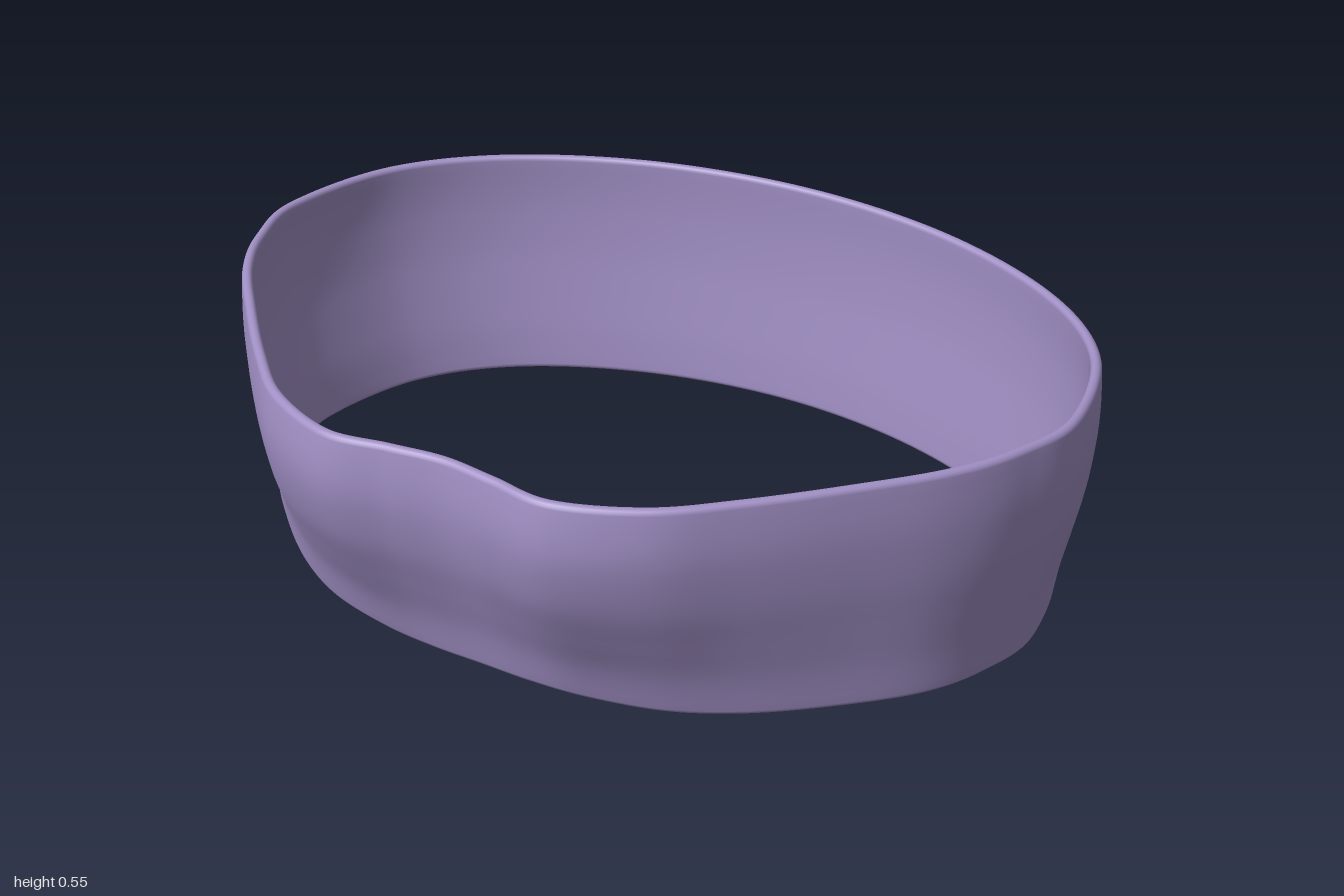
import * as THREE from 'three';

const HEIGHT = 0.55, WALL = 0.024, AROUND = 240, LEVELS = 24;

// Half outlines [x, z] running from centre back to centre front
const LOWER = [[0, -0.74], [0.35, -0.69], [0.66, -0.55], [0.855, -0.345], [0.93, -0.08], [0.9, 0.09],
  [0.825, 0.235], [0.685, 0.38], [0.55, 0.49], [0.41, 0.565], [0.25, 0.605], [0.12, 0.617], [0, 0.617]];
const UPPER = [[0, -0.78], [0.38, -0.727], [0.71, -0.575], [0.92, -0.36], [1, -0.08], [0.96, 0.1],
  [0.88, 0.25], [0.745, 0.41], [0.59, 0.575], [0.45, 0.7], [0.27, 0.777], [0.12, 0.757], [0, 0.742]];

// Blend from lower to upper outline, [weight, y]
const bulge = new THREE.SplineCurve([[0, 0], [0.22, 0.1], [0.53, 0.2], [0.82, 0.3], [0.98, 0.4], [1, 0.47], [0.93, 0.55]]
  .map(p => new THREE.Vector2(...p)));
const bulgeTable = bulge.getPoints(120);
function blendAt(y) {
  const i = Math.max(1, bulgeTable.findIndex(p => p.y >= y));
  const a = bulgeTable[i - 1], b = bulgeTable[i];
  return THREE.MathUtils.mapLinear(y, a.y, b.y, a.x, b.x);
}

// Mirror a half outline into a closed smooth curve
function outline(half) {
  const mirrored = half.slice(1, -1).reverse().map(([x, z]) => [-x, z]);
  const points = [...half, ...mirrored].map(([x, z]) => new THREE.Vector3(x, 0, z));
  return new THREE.CatmullRomCurve3(points, true, 'catmullrom', 0.5);
}

// Wall section as [inset, y]: outer face, rounded top hem, inner face, rounded bottom hem
function wallSection() {
  const r = WALL / 2, section = [];
  const face = (inset, from, to) => {
    for (let k = 0; k <= LEVELS; k++) section.push([inset, THREE.MathUtils.lerp(from, to, k / LEVELS)]);
  };
  const hem = (y, side) => {
    for (let k = 1; k < 8; k++) {
      const a = Math.PI * k / 8;
      section.push([r - side * r * Math.cos(a), y + side * r * Math.sin(a)]);
    }
  };
  face(0, r, HEIGHT - r);
  hem(HEIGHT - r, 1);
  face(WALL, HEIGHT - r, r);
  hem(r, -1);
  return section;
}

function bandGeometry() {
  const low = outline(LOWER), high = outline(UPPER), section = wallSection();
  const m = section.length, positions = [], index = [];
  for (let i = 0; i < AROUND; i++) {
    const u = i / AROUND;
    const a = low.getPoint(u), b = high.getPoint(u);
    const ta = low.getTangent(u), tb = high.getTangent(u);
    section.forEach(([inset, y], j) => {
      const w = blendAt(y);
      const p = a.clone().lerp(b, w), t = ta.clone().lerp(tb, w).normalize();
      positions.push(p.x - t.z * inset, y, p.z + t.x * inset);
      const i2 = (i + 1) % AROUND, j2 = (j + 1) % m;
      const p00 = i * m + j, p01 = i * m + j2, p10 = i2 * m + j, p11 = i2 * m + j2;
      index.push(p00, p01, p10, p01, p11, p10);
    });
  }
  const geometry = new THREE.BufferGeometry();
  geometry.setAttribute('position', new THREE.Float32BufferAttribute(positions, 3));
  geometry.setIndex(index);
  geometry.computeVertexNormals();
  return geometry;
}

export function createModel() {
  const group = new THREE.Group();
  group.name = 'bandeauTop';
  const band = new THREE.Mesh(bandGeometry(), new THREE.MeshStandardMaterial({ color: 0xa08fc4 }));
  band.name = 'fabricBand';
  group.add(band);
  return group;
}
